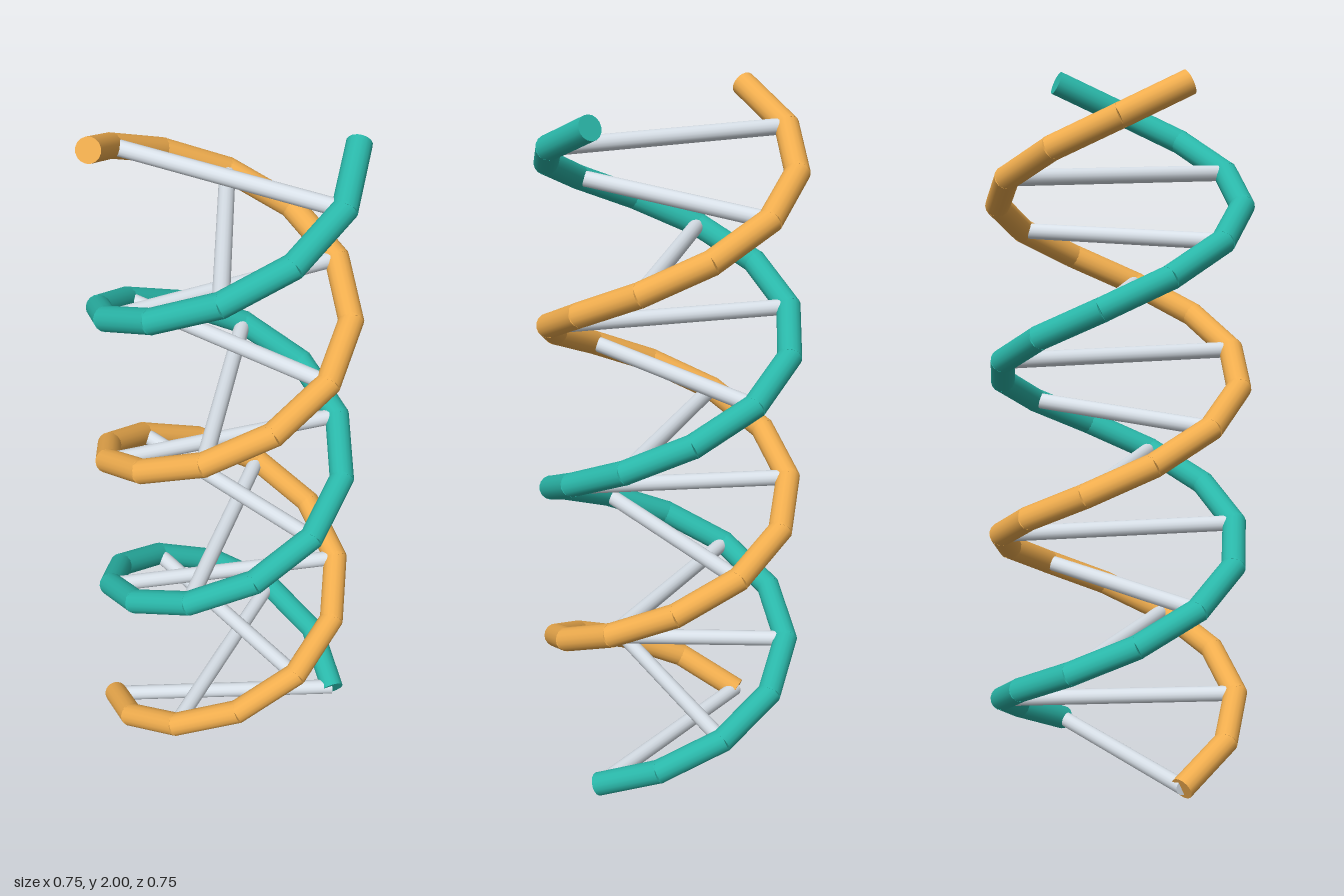
import * as THREE from 'three';

const HELIX_RADIUS = 0.342;
const STEPS = 23; // straight pieces per strand
const TURNS = 2;
const Y0 = 0.034;
const RISE = 0.084;
const STRAND_RADIUS = 0.0345;
const RUNG_RADIUS = 0.0225;

// Point number i on a strand that starts at the given phase
function helixPoint(i, phase) {
  const a = phase + (i / STEPS) * TURNS * Math.PI * 2;
  return new THREE.Vector3(HELIX_RADIUS * Math.cos(a), Y0 + i * RISE, -HELIX_RADIUS * Math.sin(a));
}

// Capped cylinder between two points, optionally lengthened to overlap its neighbours
function rod(name, a, b, radius, sides, material, stretch = 1) {
  const dir = b.clone().sub(a);
  const mesh = new THREE.Mesh(
    new THREE.CylinderGeometry(radius, radius, dir.length() * stretch, sides), material);
  mesh.name = name;
  mesh.position.copy(a).add(b).multiplyScalar(0.5);
  mesh.quaternion.setFromUnitVectors(new THREE.Vector3(0, 1, 0), dir.normalize());
  return mesh;
}

// One spiral strand made of straight rods
function strand(name, phase, material) {
  const group = new THREE.Group();
  group.name = name;
  for (let i = 0; i < STEPS; i++) {
    group.add(rod('strandSegment', helixPoint(i, phase), helixPoint(i + 1, phase),
      STRAND_RADIUS, 16, material, 1.06));
  }
  return group;
}

export function createModel() {
  const model = new THREE.Group();
  model.name = 'doubleHelix';
  const teal = new THREE.MeshStandardMaterial({ color: 0x2ab7a9 });
  const amber = new THREE.MeshStandardMaterial({ color: 0xf0ad4e });
  const pale = new THREE.MeshStandardMaterial({ color: 0xd8e0e8 });

  model.add(strand('tealStrand', 0, teal), strand('amberStrand', Math.PI, amber));

  // Rungs join the strands at every second point
  const rungs = new THREE.Group();
  rungs.name = 'rungs';
  for (let i = 0; i <= STEPS; i += 2) {
    rungs.add(rod('rung', helixPoint(i, 0), helixPoint(i, Math.PI), RUNG_RADIUS, 16, pale));
  }
  model.add(rungs);
  return model;
}
